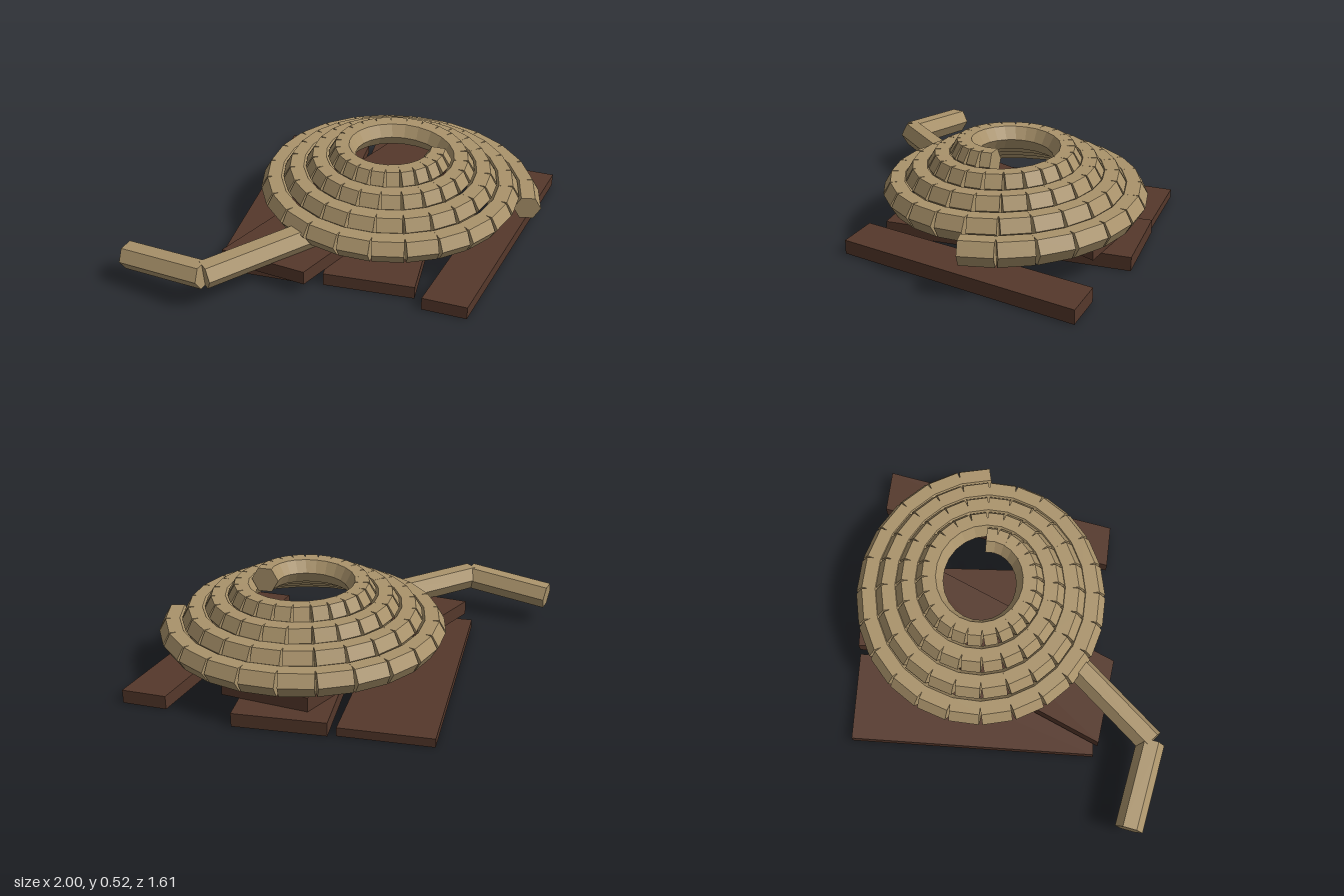
import * as THREE from 'three';

const rope = new THREE.MeshStandardMaterial({ color: 0xaa936b, flatShading: true });
rope.name = 'rope tan';
const wood = new THREE.MeshStandardMaterial({ color: 0x55382b, flatShading: true });
wood.name = 'dark wood';

const UP = new THREE.Vector3(0, 1, 0);
const ROPE_RADIUS = 0.07;

// Straight six-sided rope piece between two points, flat side up
function ropePiece(a, b, name) {
  const dir = b.clone().sub(a);
  const geo = new THREE.CylinderGeometry(ROPE_RADIUS, ROPE_RADIUS, dir.length(), 6);
  dir.normalize();
  const side = UP.clone().cross(dir).normalize();
  const up = dir.clone().cross(side);
  geo.applyMatrix4(new THREE.Matrix4().makeBasis(up, dir, side));
  const mid = a.clone().add(b).multiplyScalar(0.5);
  geo.translate(mid.x, mid.y, mid.z);
  const mesh = new THREE.Mesh(geo, rope);
  mesh.name = name;
  return mesh;
}

// Board from four [x, z] corners, between two heights
function plank(corners, y0, y1, name) {
  const shape = new THREE.Shape(corners.map(([x, z]) => new THREE.Vector2(x, -z)));
  const geo = new THREE.ExtrudeGeometry(shape, { depth: y1 - y0, bevelEnabled: false });
  geo.rotateX(-Math.PI / 2).translate(0, y0, 0);
  const mesh = new THREE.Mesh(geo, wood);
  mesh.name = name;
  return mesh;
}

// Point on the rising, shrinking, slightly oval coil after t turns
function coilPoint(t) {
  const r = 0.692 - 0.118 * t;
  const a = t * Math.PI * 2;
  return new THREE.Vector3(0.2 + r * Math.cos(a), 0.215 + 0.06 * t, -0.13 - 0.92 * r * Math.sin(a));
}

export function createModel() {
  const model = new THREE.Group();
  model.name = 'ropeCoilOnPlanks';

  // Planks: three on the ground, one lying askew on top
  const planks = new THREE.Group();
  planks.name = 'planks';
  planks.add(
    plank([[-0.54, -0.8], [-0.08, -0.79], [-0.13, 0.46], [-0.59, 0.45]], 0, 0.045, 'leftPlank'),
    plank([[-0.04, -0.8], [0.42, -0.8], [0.42, 0.45], [-0.04, 0.45]], 0, 0.07, 'middlePlank'),
    plank([[0.77, -0.71], [0.995, -0.69], [0.69, 0.54], [0.465, 0.52]], 0, 0.07, 'rightPlank'),
    plank([[0.07, -0.72], [0.51, -0.64], [-0.11, 0.55], [-0.55, 0.47]], 0.07, 0.145, 'topPlank'),
  );
  model.add(planks);

  // Coil: four turns of straight pieces
  const coil = new THREE.Group();
  coil.name = 'coil';
  const perTurn = 24;
  for (let i = 0; i < perTurn * 4; i++) {
    coil.add(ropePiece(coilPoint(i / perTurn), coilPoint((i + 1) / perTurn), 'coilPiece'));
  }
  model.add(coil);

  // Loose end running out from under the coil
  const tail = new THREE.Group();
  tail.name = 'looseEnd';
  const tip = new THREE.Vector3(-0.985, 0.15, 0.62);
  const bend = new THREE.Vector3(-0.55, 0.19, 0.73);
  const root = new THREE.Vector3(-0.1, 0.21, 0.29);
  tail.add(ropePiece(tip, bend, 'looseEndTip'), ropePiece(bend, root, 'looseEndRoot'));
  model.add(tail);

  return model;
}
